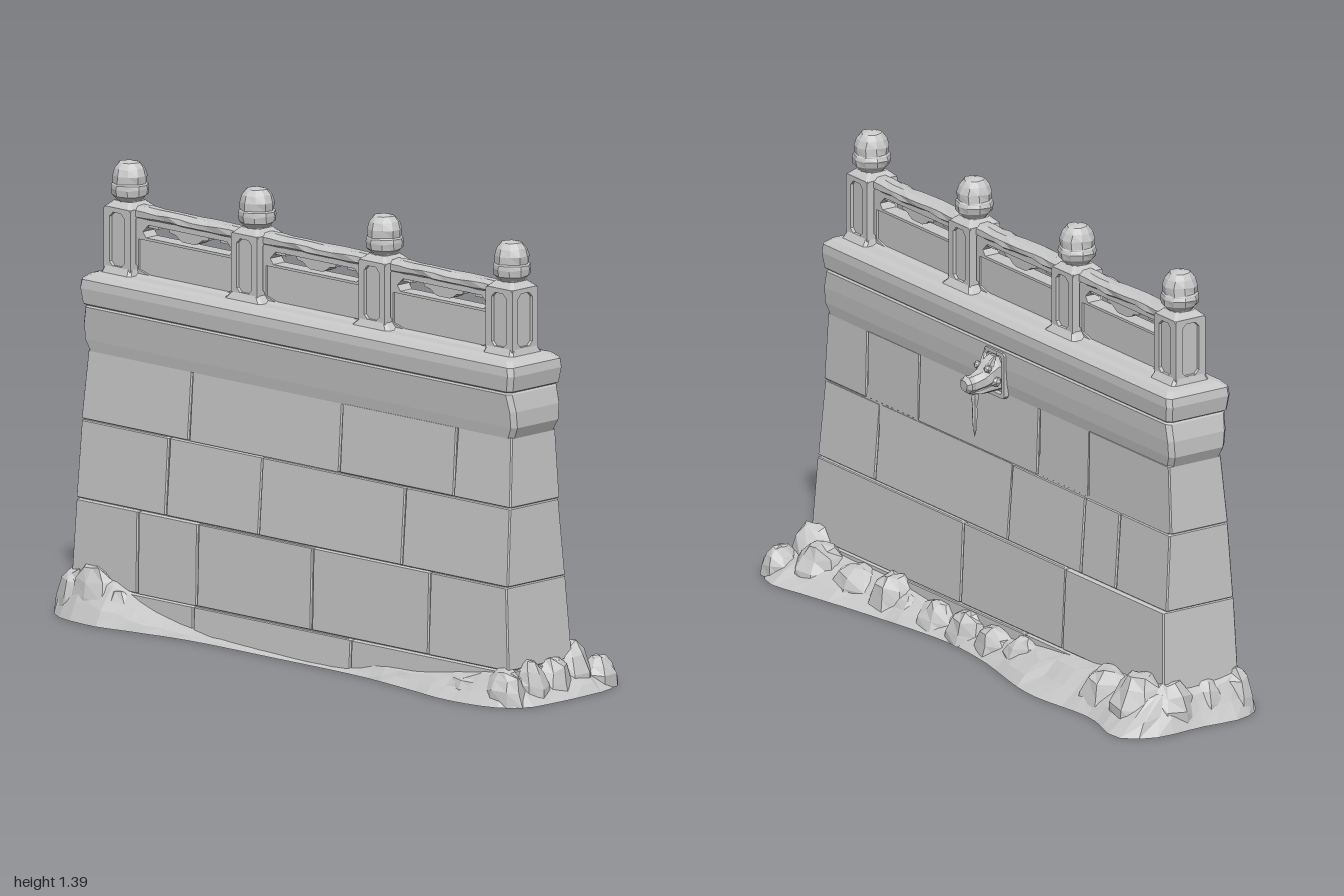
import * as THREE from 'three';

// Double-sided because the bank and boulders are open underneath
const stone = new THREE.MeshStandardMaterial({ color: 0xc8c8c8, flatShading: true, side: THREE.DoubleSide });
stone.name = 'grey stone';
const CZ = 0.05; // centre line of the wall

// Repeatable noise from a position, -1..1
function noise(x, y, z) {
  const s = Math.sin(Math.round(x * 500) * 12.99 + Math.round(y * 500) * 78.23 + Math.round(z * 500) * 37.72) * 43758.5;
  return 2 * (s - Math.floor(s)) - 1;
}
function rough(geo, amount) {
  const p = geo.attributes.position;
  for (let i = 0; i < p.count; i++) {
    const x = p.getX(i), y = p.getY(i), z = p.getZ(i);
    p.setXYZ(i, x + amount * noise(x, y, z), y + amount * noise(y, z, x), z + amount * noise(z, x, y));
  }
  geo.computeVertexNormals();
  return geo;
}
// Skin over rings of [x, y, z] stacked upward, each counter-clockwise from above
function loft(rings, capped = true) {
  const out = [], n = rings[0].length;
  for (let i = 0; i + 1 < rings.length; i++) for (let j = 0; j < n; j++) {
    const k = (j + 1) % n, a = rings[i][j], b = rings[i][k], c = rings[i + 1][k], d = rings[i + 1][j];
    out.push(...a, ...b, ...c, ...a, ...c, ...d);
  }
  const lo = rings[0], hi = rings[rings.length - 1];
  if (capped) for (let j = 1; j + 1 < n; j++) out.push(...hi[0], ...hi[j], ...hi[j + 1], ...lo[0], ...lo[j + 1], ...lo[j]);
  const geo = new THREE.BufferGeometry();
  geo.setAttribute('position', new THREE.Float32BufferAttribute(out, 3));
  geo.computeVertexNormals();
  return geo;
}
const rect = (y, x0, x1, z0, z1) => [[x1, y, z1], [x1, y, z0], [x0, y, z0], [x0, y, z1]];
// Rectangle with cut corners
const cutRect = (y, x0, x1, z0, z1, c) => [[x1 - c, y, z1], [x1, y, z1 - c], [x1, y, z0 + c], [x1 - c, y, z0],
  [x0 + c, y, z0], [x0, y, z0 + c], [x0, y, z1 - c], [x0 + c, y, z1]];

function add(parent, name, geo, x = 0, y = 0, z = 0) {
  const m = new THREE.Mesh(geo, stone);
  m.name = name;
  m.position.set(x, y, z);
  parent.add(m);
  return m;
}
const poly = pts => new THREE.Shape(pts.map(p => new THREE.Vector2(...p)));
const profile = pts => pts.map(p => new THREE.Vector2(...p));
// Outline of half size w by h centred on 0, y with clipped corners
const clipped = (w, h, y, c) => poly([[-w + c, y - h], [w - c, y - h], [w, y - h + c], [w, y + h - c],
  [w - c, y + h], [-w + c, y + h], [-w, y + h - c], [-w, y - h + c]]);
const slab = (shape, depth) => new THREE.ExtrudeGeometry(shape, { depth, bevelEnabled: false })
  .translate(0, 0, -depth / 2);

// Courses: height range, [front z, back z, half length] at foot and head, joints on each face
const COURSES = [
  [0, 0.1, [0.19, -0.1, 0.925], [0.187, -0.096, 0.92], [-0.4, 0.26], [-0.2, 0.5]],
  [0.1, 0.355, [0.185, -0.092, 0.917], [0.178, -0.08, 0.9], [-0.64, -0.39, 0.09, 0.58], [-0.39, 0.14]],
  [0.355, 0.595, [0.175, -0.072, 0.905], [0.157, -0.056, 0.897], [-0.53, -0.14, 0.46], [-0.64, -0.46, -0.08, 0.61]],
  [0.595, 0.81, [0.157, -0.055, 0.9], [0.142, -0.05, 0.887], [-0.45, 0.18, 0.66], [-0.47, -0.21, 0.41, 0.68]],
];

function wall() {
  const g = new THREE.Group();
  g.name = 'wall';
  add(g, 'wallCore', loft([rect(0.001, -0.9, 0.9, -0.088, 0.178), rect(0.35, -0.887, 0.887, -0.067, 0.166),
    rect(0.82, -0.875, 0.875, -0.039, 0.131)]));
  const b = 0.004;
  for (const [y0, y1, lo, hi, front, back] of COURSES) {
    [front, back].forEach((joints, face) => {
      const xs = [-1, ...joints, 1];
      for (let i = 0; i + 1 < xs.length; i++) {
        // Each stone runs from the centre line to its face, with worn arrises
        const ring = (y, e, inset) => {
          const x0 = i === 0 ? -e[2] + inset : xs[i] + 0.001 + inset;
          const x1 = i === xs.length - 2 ? e[2] - inset : xs[i + 1] - 0.001 - inset;
          const wob = 0.0025 * noise(xs[i], y, face);
          const z0 = face ? e[1] + inset + wob : CZ, z1 = face ? CZ : e[0] - inset + wob;
          return cutRect(y, x0, x1, z0, z1, b).map(p =>
            Math.abs(p[2] - CZ) < 0.02 ? [p[0] < (x0 + x1) / 2 ? x0 : x1, y, CZ] : p);
        };
        add(g, face ? 'backStone' : 'frontStone',
          loft([ring(y0 + 0.001, lo, b), ring(y0 + b, lo, 0), ring(y1 - b, hi, 0), ring(y1 - 0.001, hi, b)]));
      }
    });
  }
  // Coping: swelling band, rim and bevelled top
  const band = (y, x, f, k) => cutRect(y, -x, x, k, f, 0.014);
  add(g, 'copingBand', loft([band(0.805, 0.888, 0.143, -0.05), band(0.84, 0.905, 0.148, -0.056), band(0.89, 0.905, 0.153, -0.06),
    band(0.942, 0.893, 0.158, -0.06), band(0.952, 0.885, 0.15, -0.052)]));
  add(g, 'copingRim', loft([band(0.945, 0.885, 0.15, -0.052), band(0.953, 0.9, 0.162, -0.062), band(1.0, 0.908, 0.166, -0.067),
    band(1.027, 0.904, 0.163, -0.065), band(1.043, 0.885, 0.146, -0.046), band(1.048, 0.86, 0.125, -0.025)]));
  return g;
}

function post(x) {
  const g = new THREE.Group();
  g.name = 'post';
  g.position.set(x, 0, CZ);
  const sq = (y, r, c = 0.008) => cutRect(y, -r, r, -r, r, c);
  add(g, 'postCore', loft([sq(1.04, 0.045), sq(1.25, 0.045)]));
  // Four framed faces around a sunk panel
  for (let i = 0; i < 4; i++) {
    const s = clipped(0.055, 0.102, 1.148, 0.006);
    s.holes.push(clipped(0.031, 0.084, 1.152, 0.015));
    const a = i * Math.PI / 2;
    add(g, 'postFrame', slab(s, 0.012), Math.sin(a) * 0.05, 0, Math.cos(a) * 0.05).rotation.y = a;
  }
  add(g, 'postCap', loft([sq(1.235, 0.055), sq(1.25, 0.055), sq(1.268, 0.036)]));
  const w = Math.abs(x) < 0.5 ? 0.085 : 0.064;
  add(g, 'postFoot', loft([cutRect(1.04, -w, w, -0.075, 0.07, 0.01), sq(1.07, 0.055)]));
  // Bud finial
  const bud = profile([[0.034, 1.255], [0.04, 1.27], [0.055, 1.286], [0.06, 1.305], [0.056, 1.318], [0.053, 1.322],
    [0.053, 1.345], [0.046, 1.367], [0.031, 1.384], [0, 1.392]]);
  add(g, 'finial', rough(new THREE.LatheGeometry(bud, 10), 0.002));
  return g;
}

function bay(x) {
  const g = new THREE.Group();
  g.name = 'railingBay';
  g.position.set(x, 0, CZ);
  const frame = poly([[-0.225, 1.04], [0.225, 1.04], [0.225, 1.235], [-0.225, 1.235]]);
  frame.holes.push(poly([[-0.188, 1.185], [-0.175, 1.168], [0.175, 1.168], [0.188, 1.185], [0.165, 1.208], [-0.165, 1.208]]));
  frame.holes.push(poly([[-0.206, 1.066], [-0.16, 1.053], [0.16, 1.053], [0.206, 1.066], [0.206, 1.16], [-0.206, 1.16]]));
  add(g, 'railingFrame', slab(frame, 0.05));
  add(g, 'railingPanel', new THREE.BoxGeometry(0.42, 0.115, 0.036), 0, 1.106);
  // Cup-shaped bracket and small end brackets in the slot
  add(g, 'cupBracket', slab(poly([[-0.085, 1.21], [-0.08, 1.197], [-0.055, 1.193], [-0.04, 1.182], [-0.025, 1.176],
    [0.025, 1.176], [0.04, 1.182], [0.055, 1.193], [0.08, 1.197], [0.085, 1.21]]), 0.04));
  for (const s of [-1, 1]) add(g, 'endBracket', new THREE.BoxGeometry(0.05, 0.01, 0.036), s * 0.155, 1.204);
  // Worn hand rail
  const rail = new THREE.CylinderGeometry(1, 1, 0.46, 8, 9, true).rotateY(Math.PI / 8).rotateZ(Math.PI / 2).scale(1, 0.022, 0.036);
  add(g, 'handRail', rough(rail, 0.003), 0, 1.238);
  // Sloped sill
  add(g, 'sill', loft([rect(1.04, -0.23, 0.23, -0.055, 0.055), rect(1.054, -0.23, 0.23, -0.026, 0.026)]));
  return g;
}

function spout() {
  const g = new THREE.Group();
  g.name = 'waterSpout';
  const plate = clipped(0.052, 0.072, 0.865, 0.008);
  plate.holes.push(clipped(0.04, 0.06, 0.865, 0.008));
  add(g, 'spoutFrame', slab(plate, 0.02), 0, 0, -0.057);
  // Sections run outward from the wall: [distance, centre height, half width, half height]
  const beast = (name, rows) => add(g, name, rough(loft(rows.map(([d, y, w, h]) =>
    Array.from({ length: 8 }, (_, i) => {
      const a = -(i + 0.5) * Math.PI / 4;
      return [w * Math.cos(a), d, y + h * Math.sin(a)];
    }))).rotateX(-Math.PI / 2), 0.002));
  beast('head', [[0.035, 0.868, 0.036, 0.05], [0.075, 0.875, 0.038, 0.05], [0.1, 0.868, 0.042, 0.042], [0.12, 0.853, 0.034, 0.031],
    [0.15, 0.845, 0.028, 0.027], [0.168, 0.846, 0.03, 0.028], [0.178, 0.844, 0.02, 0.018]]);
  beast('lowerJaw', [[0.04, 0.832, 0.032, 0.022], [0.1, 0.83, 0.032, 0.019], [0.135, 0.822, 0.024, 0.012], [0.155, 0.82, 0.014, 0.008]]);
  for (const s of [-1, 1]) {
    add(g, 'ear', new THREE.ConeGeometry(0.014, 0.05, 5), s * 0.024, 0.919, -0.085).rotation.set(0.3, 0, -s * 0.3);
    add(g, 'brow', new THREE.IcosahedronGeometry(0.014, 0), s * 0.026, 0.892, -0.108);
    add(g, 'cheek', new THREE.IcosahedronGeometry(0.018, 0), s * 0.035, 0.85, -0.085);
  }
  // Hanging drip
  const drip = profile([[0, 0.675], [0.006, 0.7], [0.009, 0.745], [0.008, 0.775], [0.013, 0.8], [0.014, 0.825]]);
  add(g, 'drip', new THREE.LatheGeometry(drip, 6), 0, 0, -0.138);
  return g;
}

function rubble() {
  const g = new THREE.Group();
  g.name = 'rubble';
  // Outline of the bank: x, z and height where it meets the wall
  const edge = [[1, 0.1, 0.08], [1, -0.06, 0.08], [0.98, -0.2, 0.09], [0.88, -0.28, 0.1], [0.7, -0.255, 0.09], [0.48, -0.215, 0.09],
    [0.1, -0.165, 0.06], [-0.1, -0.18, 0.07], [-0.43, -0.245, 0.1], [-0.72, -0.225, 0.12], [-0.92, -0.265, 0.12],
    [-0.985, -0.18, 0.12], [-0.985, 0, 0.12], [-0.99, 0.15, 0.13], [-0.93, 0.24, 0.15], [-0.75, 0.275, 0.14], [-0.6, 0.25, 0.08],
    [-0.4, 0.218, 0.04], [0, 0.212, 0.012], [0.25, 0.212, 0.015], [0.38, 0.22, 0.05], [0.55, 0.243, 0.055], [0.75, 0.27, 0.085],
    [0.93, 0.24, 0.11], [0.99, 0.18, 0.1]];
  const curve = new THREE.CatmullRomCurve3(edge.map(([x, z, h]) => new THREE.Vector3(x, h, z)), true);
  const pts = curve.getSpacedPoints(84).slice(0, -1);
  const ring = (t, lift) => pts.map((p, i) => {
    const wx = THREE.MathUtils.clamp(p.x, -0.9, 0.9), wz = THREE.MathUtils.clamp(p.z, -0.08, 0.17);
    const k = 0.13 * noise(i, t, 3) * (t > 0 && t < 1 ? 1 : 0);
    return [THREE.MathUtils.lerp(p.x, wx, t + k), p.y * lift * (1 + k), THREE.MathUtils.lerp(p.z, wz, t + k)];
  });
  add(g, 'bank', loft([ring(0, 0), ring(0.3, 0.38), ring(0.65, 0.8), ring(1, 1)], false));
  // Half-buried boulders: x, z, x radius, z radius, height
  const boulders = [[0.91, 0.1, 0.08, 0.07, 0.13], [0.91, -0.0, 0.075, 0.075, 0.12], [0.88, -0.1, 0.09, 0.08, 0.155],
    [0.92, -0.2, 0.06, 0.065, 0.095], [0.79, -0.14, 0.1, 0.09, 0.12], [0.9, 0.185, 0.08, 0.055, 0.115], [0.76, 0.19, 0.1, 0.05, 0.075],
    [-0.9, -0.06, 0.08, 0.09, 0.14], [-0.84, -0.12, 0.11, 0.1, 0.16], [-0.67, -0.12, 0.11, 0.09, 0.13], [-0.9, 0.07, 0.07, 0.07, 0.13],
    [-0.89, 0.175, 0.085, 0.06, 0.145], [-0.81, 0.185, 0.1, 0.06, 0.165], [-0.71, 0.19, 0.08, 0.05, 0.105],
    [0.62, -0.12, 0.11, 0.09, 0.1], [0.45, -0.115, 0.09, 0.08, 0.115]];
  for (let x = -0.52; x < 0.4; x += 0.15) boulders.push([x, -0.095, 0.095, 0.075, 0.09 + 0.02 * noise(x, 1, 2)]);
  boulders.forEach(([x, z, rx, rz, h], i) => {
    const geo = rough(new THREE.SphereGeometry(1, 8, 4, 0, Math.PI * 2, 0, Math.PI / 2).rotateY(i * 1.7), 0.07);
    const p = geo.attributes.position;
    for (let j = 0; j < p.count; j++) {
      // One shared apex and a flat foot
      const r = Math.hypot(p.getX(j), p.getZ(j)), y = p.getY(j);
      if (r < 0.15) p.setXYZ(j, 0, 0.97, 0);
      else p.setY(j, r > 0.88 && y < 0.2 ? 0 : y);
    }
    geo.scale(rx, h, rz).computeVertexNormals();
    add(g, 'boulder', geo, x, 0, z);
  });
  return g;
}

export function createModel() {
  const model = new THREE.Group();
  model.name = 'stoneWall';
  model.add(wall(), spout(), rubble());
  for (const x of [-0.8, -0.267, 0.267, 0.8]) model.add(post(x));
  for (const x of [-0.533, 0, 0.533]) model.add(bay(x));
  return model;
}
